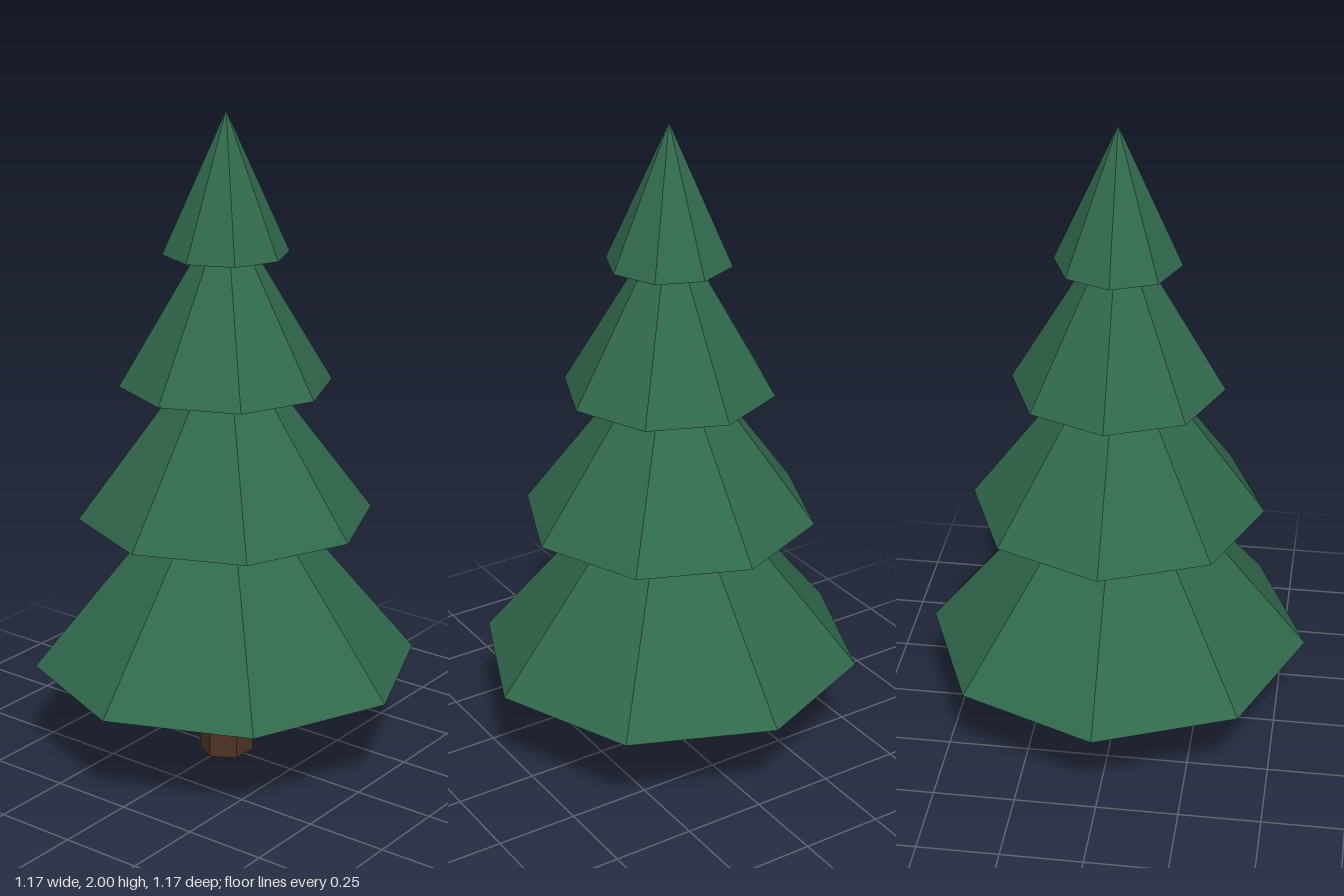
import * as THREE from 'three';

export function createModel() {
  const tree = new THREE.Group();
  tree.name = 'pineTree';

  const needles = new THREE.MeshStandardMaterial({ color: 0x316a4d });
  needles.name = 'needleGreen';
  needles.flatShading = true;
  const bark = new THREE.MeshStandardMaterial({ color: 0x503524 });
  bark.name = 'barkBrown';
  bark.flatShading = true;

  // Adds a faceted part standing on the given base height
  function addPart(name, geometry, height, base, material) {
    const mesh = new THREE.Mesh(geometry, material);
    mesh.name = name;
    mesh.position.y = base + height / 2;
    tree.add(mesh);
  }

  // Six-sided trunk, ending just inside the lowest tier
  addPart('trunk', new THREE.CylinderGeometry(0.083, 0.083, 0.36, 6), 0.36, 0, bark);

  // Overlapping eight-sided cones, from the ground up
  const tiers = [
    { radius: 0.586, base: 0.312, height: 0.715 },
    { radius: 0.445, base: 0.783, height: 0.6 },
    { radius: 0.318, base: 1.192, height: 0.54 },
    { radius: 0.187, base: 1.585, height: 0.415 },
  ];
  tiers.forEach(({ radius, base, height }, i) => {
    addPart(`foliageTier${i + 1}`, new THREE.ConeGeometry(radius, height, 8), height, base, needles);
  });

  return tree;
}
